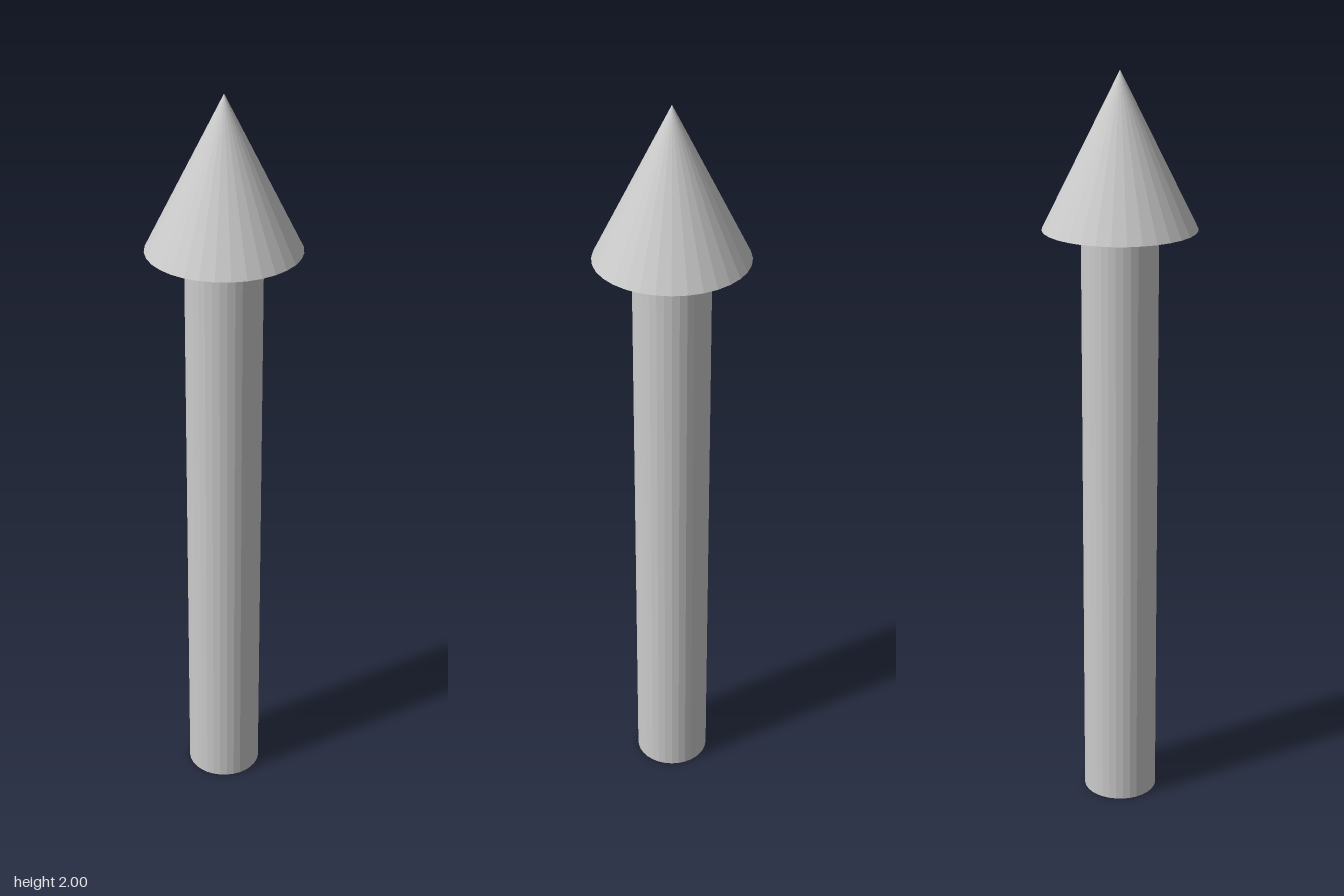
import * as THREE from 'three';

const SIDES = 32;
const HEIGHT = 2;
const HEAD_HEIGHT = 0.4;
const SHAFT_HEIGHT = HEIGHT - HEAD_HEIGHT;

export function createModel() {
  const group = new THREE.Group();
  group.name = 'arrow';
  const material = new THREE.MeshStandardMaterial({ color: 0xcccccc, flatShading: true });

  // Adds a part whose base sits at the given height
  const addPart = (name, geometry, baseY) => {
    const mesh = new THREE.Mesh(geometry, material);
    mesh.name = name;
    mesh.position.y = baseY + geometry.parameters.height / 2;
    group.add(mesh);
  };

  // Straight round shaft standing on the ground
  addPart('shaft', new THREE.CylinderGeometry(0.1, 0.1, SHAFT_HEIGHT, SIDES), 0);

  // Pointed head with a closed underside
  addPart('head', new THREE.ConeGeometry(0.2, HEAD_HEIGHT, SIDES), SHAFT_HEIGHT);

  return group;
}
